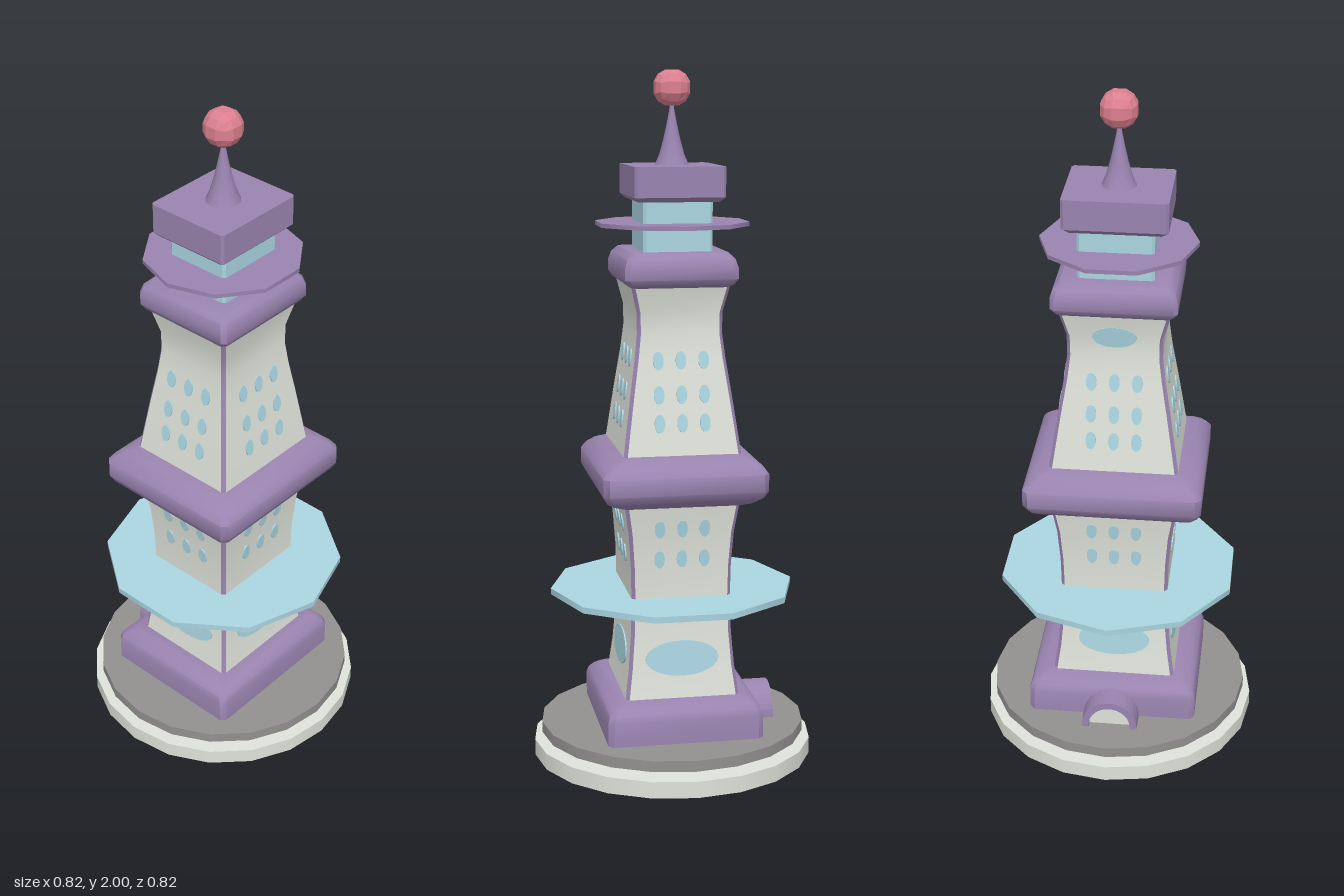
import * as THREE from 'three';
import { toCreasedNormals } from 'three/addons/utils/BufferGeometryUtils.js';

const mat = (name, color) => {
  const m = new THREE.MeshStandardMaterial({ color });
  m.name = name;
  return m;
};

export function createModel() {
  const tower = new THREE.Group();
  tower.name = 'tower';
  const cream = mat('cream stone', 0xdfe3da);
  const purple = mat('purple trim', 0x9a84b0);
  const blue = mat('pale blue', 0xabd6e2);
  const grey = mat('grey plinth', 0x939090);
  const pink = mat('pink ball', 0xdc8090);

  const add = (name, geometry, material, x = 0, y = 0, z = 0, parent = tower) => {
    const mesh = new THREE.Mesh(geometry, material);
    mesh.name = name;
    mesh.position.set(x, y, z);
    parent.add(mesh);
    return mesh;
  };

  // Loft through chamfered rectangles; rows are [y, halfX, halfZ].
  // Group 0 holds the wide faces and caps, group 1 the corner chamfers.
  function loft(rows, c) {
    const rings = rows.map(([y, w, d]) => [
      [w, d - c], [w, c - d], [w - c, -d], [c - w, -d],
      [-w, c - d], [-w, d - c], [c - w, d], [w - c, d],
    ].map(([x, z]) => [x, y, z]));
    const sides = [[], []];
    for (let r = 0; r + 1 < rings.length; r++) {
      for (let i = 0; i < 8; i++) {
        const j = (i + 1) % 8, lo = rings[r], hi = rings[r + 1];
        sides[i % 2].push(...lo[i], ...lo[j], ...hi[j], ...lo[i], ...hi[j], ...hi[i]);
      }
    }
    const bottom = rings[0], top = rings[rings.length - 1];
    for (let i = 1; i < 7; i++) {
      sides[0].push(...top[0], ...top[i], ...top[i + 1]);
      sides[0].push(...bottom[0], ...bottom[i + 1], ...bottom[i]);
    }
    const geo = new THREE.BufferGeometry();
    geo.setAttribute('position', new THREE.Float32BufferAttribute(sides.flat(), 3));
    geo.addGroup(0, sides[0].length / 3, 0);
    geo.addGroup(sides[0].length / 3, sides[1].length / 3, 1);
    return toCreasedNormals(geo, 0.7);
  }

  // Round plinth
  add('lowerPlinth', new THREE.CylinderGeometry(0.412, 0.412, 0.048, 20).toNonIndexed(), cream, 0, 0.024);
  add('upperPlinth', new THREE.CylinderGeometry(0.39, 0.39, 0.032, 20).toNonIndexed(), grey, 0, 0.085);

  // Bevelled blocks and bands; rows are [y, halfX], each deeper in z by a fixed amount
  const bands = {
    footBlock: [0.015, 0.025, [[0.1, 0.226], [0.17, 0.226], [0.188, 0.22], [0.203, 0.207], [0.215, 0.185]]],
    middleBand: [0.016, 0.02, [[0.783, 0.18], [0.793, 0.204], [0.808, 0.224], [0.83, 0.236],
      [0.88, 0.236], [0.9, 0.222], [0.917, 0.2], [0.93, 0.165]]],
    upperBand: [0.012, 0.015, [[1.4, 0.138], [1.408, 0.151], [1.424, 0.161], [1.455, 0.161], [1.48, 0.153], [1.497, 0.136]]],
    roofCap: [0.008, 0.017, [[1.637, 0.116], [1.65, 0.129], [1.735, 0.129]]],
  };
  for (const [name, [c, extra, rows]] of Object.entries(bands))
    add(name, loft(rows.map(([y, w]) => [y, w, w + extra]), c), [purple, purple]);
  add('lantern', loft([[1.49, 0.099, 0.107], [1.64, 0.099, 0.107]], 0.008), [blue, blue]);

  // Waisted shafts with purple corner strips
  const depth = 1.1;
  const lower = [[0.2, 0.168], [0.3, 0.155], [0.4, 0.147], [0.5, 0.144], [0.6, 0.146], [0.7, 0.153], [0.8, 0.168]];
  const upper = [[0.92, 0.17], [1.0, 0.159], [1.1, 0.145], [1.2, 0.13], [1.27, 0.122], [1.33, 0.123], [1.41, 0.142]];
  const withDepth = (p) => p.map(([y, w]) => [y, w, w * depth]);
  add('lowerShaft', loft(withDepth(lower), 0.01), [cream, purple]);
  add('upperShaft', loft(withDepth(upper), 0.01), [cream, purple]);

  const halfWidth = (y) => {
    const p = y < 0.85 ? lower : upper;
    const i = p.findIndex((row) => row[0] >= y);
    const [y0, w0] = p[i - 1], [y1, w1] = p[i];
    return w0 + (w1 - w0) * (y - y0) / (y1 - y0);
  };

  // Balconies
  add('lowerBalcony', new THREE.CylinderGeometry(0.36, 0.36, 0.018, 10).toNonIndexed(), blue, 0, 0.5)
    .rotation.y = Math.PI / 2;
  add('upperBalcony', new THREE.CylinderGeometry(0.223, 0.223, 0.012, 10).toNonIndexed(), purple, 0, 1.57);

  // Oval windows, tilted to follow the wall
  const pane = new THREE.CylinderGeometry(1, 1, 0.008, 20).rotateX(Math.PI / 2);
  ['front', 'left', 'back', 'right'].forEach((side, k) => {
    const wall = new THREE.Group();
    wall.name = side + 'Windows';
    wall.rotation.y = k * Math.PI / 2;
    tower.add(wall);
    const put = (name, x, y, rx, ry) => {
      const f = k % 2 ? 1 : depth;
      const slope = (halfWidth(y + 0.02) - halfWidth(y - 0.02)) / 0.04 * f;
      const m = add(name, pane, blue, x, y, halfWidth(y) * f, wall);
      m.scale.set(rx, ry, 1);
      m.rotation.x = Math.atan(slope);
    };
    put('largeWindow', 0, 0.33, 0.107, 0.052);
    for (const y of [0.625, 0.715, 1.02, 1.1, 1.195])
      for (const x of [-0.065, 0, 0.065]) put('smallWindow', x, y, 0.015, 0.026);
    if (side === 'right') put('topWindow', 0, 1.335, 0.062, 0.033);
  });

  // Arched doorway on the right side
  const archShape = (r, leg) => {
    const s = new THREE.Shape();
    s.moveTo(r, 0);
    s.lineTo(r, leg);
    s.absarc(0, leg, r, 0, Math.PI, false);
    s.lineTo(-r, 0);
    return s;
  };
  const frame = archShape(0.083, 0.008);
  frame.lineTo(-0.062, 0);
  frame.lineTo(-0.062, 0.008);
  frame.absarc(0, 0.008, 0.062, Math.PI, 0, true);
  frame.lineTo(0.062, 0);
  const extrude = (shape, d) =>
    new THREE.ExtrudeGeometry(shape, { depth: d, bevelEnabled: false, curveSegments: 8 }).rotateY(-Math.PI / 2);
  add('doorArch', extrude(frame, 0.08), purple, -0.212, 0.101);
  add('door', extrude(archShape(0.062, 0.008), 0.06), cream, -0.212, 0.101);

  // Spire
  const spire = [[0.05, 1.733], [0.036, 1.765], [0.025, 1.805], [0.016, 1.845], [0.008, 1.885], [0.003, 1.92]]
    .map(([r, y]) => new THREE.Vector2(r, y));
  add('spire', new THREE.LatheGeometry(spire, 12), purple);

  // Faceted ball: a subdivided cube pushed out to a sphere
  const ball = new THREE.BoxGeometry(1, 1, 1, 3, 3, 3).toNonIndexed();
  const p = ball.attributes.position, v = new THREE.Vector3();
  for (let i = 0; i < p.count; i++) {
    v.fromBufferAttribute(p, i).normalize().multiplyScalar(0.055);
    p.setXYZ(i, v.x, v.y, v.z);
  }
  ball.computeVertexNormals();
  add('ball', ball, pink, 0, 1.95);

  return tower;
}
